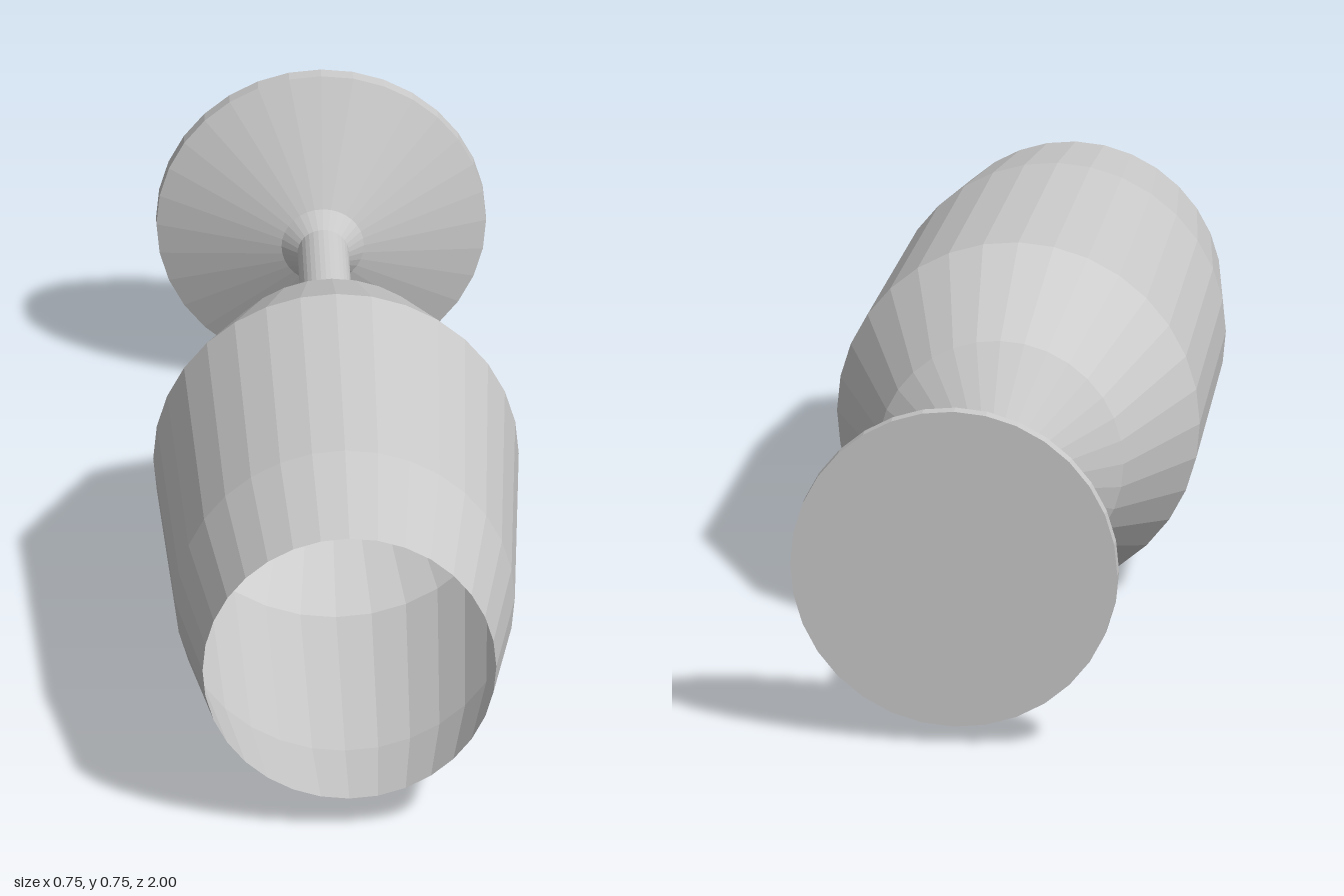
import * as THREE from 'three';

const SIDES = 32;
const RADIUS = 0.377; // widest part of the bowl

export function createModel() {
  const group = new THREE.Group();
  group.name = 'goblet';
  const material = new THREE.MeshStandardMaterial({
    color: 0xcccccc, flatShading: true, side: THREE.DoubleSide,
  });

  // Turned part: profile of [radius, z], from the foot towards the rim
  const turned = (name, profile) => {
    const points = profile.map(([r, z]) => new THREE.Vector2(r, z));
    const mesh = new THREE.Mesh(new THREE.LatheGeometry(points, SIDES), material);
    mesh.name = name;
    mesh.rotation.x = Math.PI / 2; // lay the glass down, mouth to +z
    mesh.position.y = RADIUS;
    group.add(mesh);
  };

  // Flat base disc with a conical top
  turned('foot', [[0, -1], [0.34, -1], [0.34, -0.97], [0.085, -0.865], [0.053, -0.835]]);
  turned('stem', [[0.053, -0.835], [0.053, -0.415]]);
  // Thin open bowl with a small flat floor
  turned('bowl', [[0, -0.415], [0.053, -0.415], [0.256, -0.236], [RADIUS, 0.06], [0.35, 0.7], [0.303, 1]]);

  return group;
}
